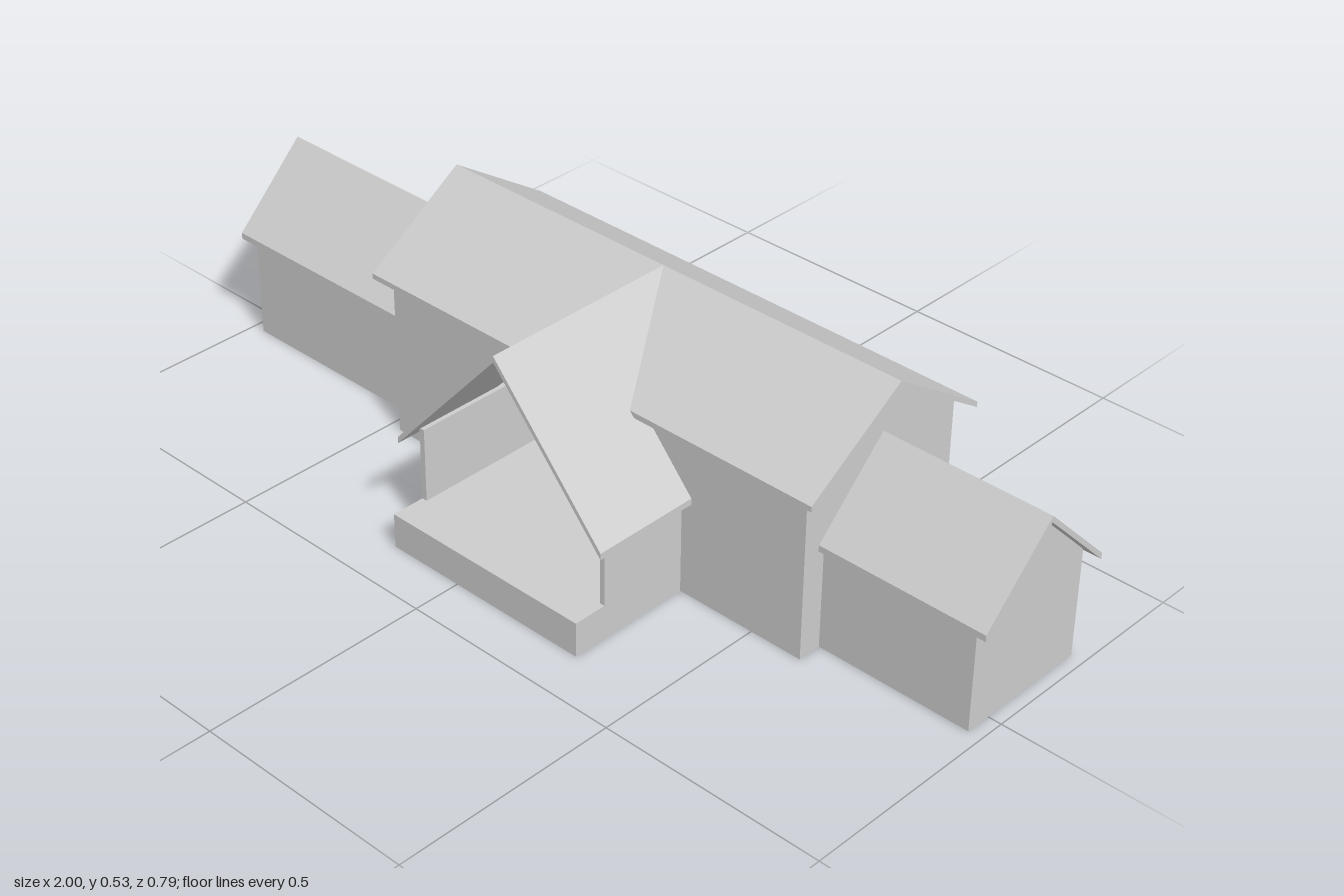
import * as THREE from 'three';

const CX = 0.072, RIDGE_Z = -0.097, T = 0.012; // porch axis, ridge line, wall thickness

export function createModel() {
  const model = new THREE.Group();
  model.name = 'house';
  const grey = new THREE.MeshStandardMaterial({ color: 0xcccccc });
  grey.name = 'plain grey';

  const add = (name, geo, x = 0, y = 0, z = 0) => {
    const mesh = new THREE.Mesh(geo, grey);
    mesh.name = name;
    mesh.position.set(x, y, z);
    model.add(mesh);
    return mesh;
  };
  const box = (name, x0, x1, y0, y1, z0, z1) =>
    add(name, new THREE.BoxGeometry(x1 - x0, y1 - y0, z1 - z0),
      (x0 + x1) / 2, (y0 + y1) / 2, (z0 + z1) / 2);
  const shape = (pts) => new THREE.Shape(pts.map(([a, b]) => new THREE.Vector2(a, b)));
  const extrude = (s, depth) => new THREE.ExtrudeGeometry(s, { depth, bevelEnabled: false });

  // Wall drawn in (x, y), facing front or back
  const wallXY = (name, s, z) => add(name, extrude(s, T), 0, 0, z);
  // Wall drawn in (z, y), extruded along x
  const wallZY = (name, pts, x, depth = T) =>
    add(name, extrude(shape(pts.map(([z, y]) => [-z, y])), depth).rotateY(Math.PI / 2), x);
  // Sloped slab: plan outline in (x, z), top surface given by height(x, z)
  const roofPanel = (name, plan, thick, height) => {
    const geo = extrude(shape(plan.map(([x, z]) => [x, -z])), thick).rotateX(-Math.PI / 2);
    const p = geo.attributes.position;
    for (let i = 0; i < p.count; i++) {
      p.setY(i, p.getY(i) - thick + height(p.getX(i), p.getZ(i)));
    }
    geo.computeVertexNormals();
    return add(name, geo);
  };
  const gable = (z0, z1, eave, peak) => [[z0, 0], [z1, 0], [z1, eave], [RIDGE_Z, peak], [z0, eave]];

  // Main hall: end gables, back wall with doorway, front wall either side of the porch
  const mx0 = -0.47, mx1 = 0.62, mz0 = -0.305, mz1 = 0.111;
  const mainGable = gable(mz0, mz1, 0.381, 0.518);
  wallZY('hallRightGable', mainGable, mx0);
  wallZY('hallLeftGable', mainGable, mx1 - T);

  const back = shape([[mx0, 0], [mx1, 0], [mx1, 0.38], [mx0, 0.38]]);
  back.holes.push(new THREE.Path([[0.01, 0.077], [0.01, 0.19], [0.13, 0.19], [0.13, 0.077]]
    .map(([x, y]) => new THREE.Vector2(x, y))));
  wallXY('hallBackWall', back, mz0);

  for (const [side, s, end] of [['Right', -1, mx0], ['Left', 1, mx1]]) {
    wallXY(`hallFrontWall${side}`, shape([
      [end, 0], [CX + s * 0.247, 0], [CX + s * 0.247, 0.246], [CX + s * 0.128, 0.38], [end, 0.38],
    ]), mz1 - T);
  }

  // Main roof: the front slope is notched along the porch valleys
  const rx0 = -0.5, rx1 = 0.653, half = 0.236;
  const mainHeight = (x, z) => 0.53 - 0.657 * Math.abs(z - RIDGE_Z);
  roofPanel('hallBackRoof', [[rx0, RIDGE_Z], [rx1, RIDGE_Z], [rx1, RIDGE_Z - half], [rx0, RIDGE_Z - half]],
    T, mainHeight);
  for (const [side, s, end] of [['Right', -1, rx0], ['Left', 1, rx1]]) {
    roofPanel(`hallFrontRoof${side}`, [
      [CX, RIDGE_Z], [end, RIDGE_Z], [end, RIDGE_Z + half], [CX + s * 0.138, RIDGE_Z + half],
    ], T, mainHeight);
  }

  // Lower wings at both ends
  const wz0 = -0.25, wz1 = 0.057;
  const wingHeight = (x, z) => 0.408 - 0.994 * Math.abs(z - RIDGE_Z);
  for (const [side, x0, x1, r0, r1, endX] of [
    ['Right', -0.97, mx0, -1, mx0, -0.97],
    ['Left', mx1, 0.97, mx1, 1, 0.97 - T],
  ]) {
    wallZY(`wing${side}Gable`, gable(wz0, wz1, 0.242, 0.394), endX);
    box(`wing${side}FrontWall`, x0, x1, 0, 0.242, wz1 - T, wz1);
    box(`wing${side}BackWall`, x0, x1, 0, 0.242, wz0, wz0 + T);
    for (const s of [-1, 1]) {
      const eave = RIDGE_Z + s * 0.169;
      roofPanel(`wing${side}${s > 0 ? 'Front' : 'Back'}Roof`,
        [[r0, RIDGE_Z], [r1, RIDGE_Z], [r1, eave], [r0, eave]], 0.014, wingHeight);
    }
  }

  // Open-fronted porch: side walls run through to the back of the hall
  const porchHeight = (x) => 0.53 - 1.12 * Math.abs(x - CX);
  for (const [side, s] of [['Right', -1], ['Left', 1]]) {
    const outer = CX + s * 0.247, inner = CX + s * 0.235;
    box(`porch${side}Wall`, Math.min(outer, inner), Math.max(outer, inner), 0, 0.242, mz0 + T, 0.318);
    box(`deck${side}Skirt`, Math.min(outer, inner), Math.max(outer, inner), 0, 0.07, 0.318, 0.393);
    roofPanel(`porch${side}Roof`, [
      [CX, RIDGE_Z], [CX, 0.353], [CX + s * 0.271, 0.353], [CX + s * 0.271, mz1],
      [CX + s * 0.124, mz1],
    ], 0.014, porchHeight);
  }

  // Deck floor and front skirt, hollow underneath
  box('deckFloor', CX - 0.235, CX + 0.235, 0.07, 0.077, mz0 + T, 0.393);
  for (const s of [-1, 1]) {
    box('deckEdge', CX + s * 0.241 - 0.006, CX + s * 0.241 + 0.006, 0.07, 0.077, 0.318, 0.393);
  }
  box('deckFrontSkirt', CX - 0.235, CX + 0.235, 0, 0.07, 0.393 - T, 0.393);

  // Back doorstep with a sloped nose
  wallZY('backStep', [[mz0, 0], [mz0, 0.077], [-0.355, 0.077], [-0.393, 0.047], [-0.393, 0]], 0.014, 0.113);

  return model;
}
